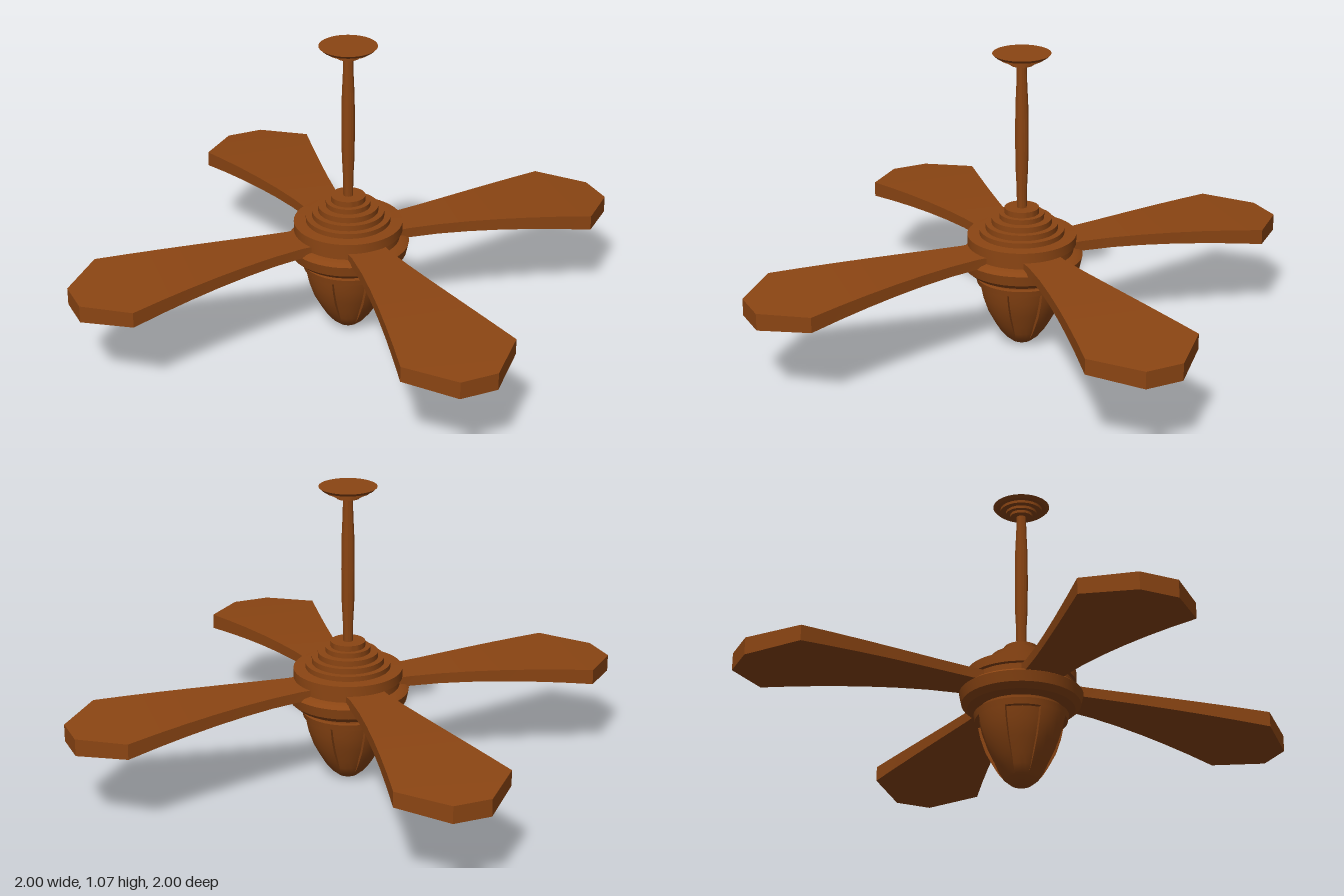
import * as THREE from 'three';
import { toCreasedNormals } from 'three/addons/utils/BufferGeometryUtils.js';

const wood = new THREE.MeshStandardMaterial({ color: 0x8b4513, side: THREE.DoubleSide });

function addMesh(parent, name, geometry) {
  const mesh = new THREE.Mesh(geometry, wood);
  mesh.name = name;
  parent.add(mesh);
  return mesh;
}

const points = (list) => list.map(([r, y]) => new THREE.Vector2(r, y));

// Turned part with sharp steps, profile listed from bottom to top
function turned(profile, segments = 48) {
  return toCreasedNormals(new THREE.LatheGeometry(points(profile), segments), 0.5);
}

// Blade: a box whose slices are widened, arched and cut to a chamfered tip
function bladeGeometry() {
  const stations = [0.12, 0.2, 0.31, 0.42, 0.53, 0.64, 0.75, 0.86, 1];
  const n = stations.length - 1;
  const geometry = new THREE.BoxGeometry(1, 1, 1, n, 1, 1);
  const pos = geometry.attributes.position;
  for (let i = 0; i < pos.count; i++) {
    const x = stations[Math.round((pos.getX(i) + 0.5) * n)];
    const t = Math.max(0, (x - 0.2) / 0.66);
    const half = x === 1 ? 0.067 : 0.07 + 0.135 * Math.pow(t, 1.25);
    const s = Math.max(0, (x - 0.2) / 0.8);
    const top = 0.372 - 0.042 * s * s;
    const bottom = 0.336 - 0.066 * Math.pow(s, 1.8);
    pos.setXYZ(i, x, pos.getY(i) > 0 ? top : bottom, Math.sign(pos.getZ(i)) * half + 0.005);
  }
  return toCreasedNormals(geometry, 0.4);
}

export function createModel() {
  const model = new THREE.Group();
  model.name = 'ceilingFan';

  // Stepped ceiling mount
  addMesh(model, 'ceilingMount', turned([
    [0, 1.025], [0.04, 1.025], [0.04, 1.035], [0.055, 1.035], [0.055, 1.045],
    [0.075, 1.045], [0.075, 1.055], [0.09, 1.055], [0.1, 1.065], [0, 1.065],
  ]));

  // Hanging rod, slightly swollen in the middle
  addMesh(model, 'rod', turned([
    [0.017, 0.5], [0.018, 0.58], [0.022, 0.66], [0.023, 0.77], [0.022, 0.88], [0.018, 0.97], [0.017, 1.03],
  ], 16));

  // Motor housing: neck, flared flange, blade band and stepped cap
  addMesh(model, 'motorHousing', turned([
    [0, 0.25], [0.145, 0.25], [0.145, 0.275], [0.185, 0.28], [0.205, 0.298], [0.213, 0.335],
    [0.2, 0.345], [0.18, 0.35], [0.18, 0.375], [0.19, 0.378], [0.19, 0.412],
    [0.148, 0.414], [0.148, 0.432], [0.126, 0.432], [0.126, 0.452], [0.105, 0.452], [0.105, 0.472],
    [0.078, 0.472], [0.078, 0.49], [0.06, 0.49], [0.06, 0.51], [0, 0.51],
  ]));

  // Four blades
  const geometry = bladeGeometry();
  for (let i = 0; i < 4; i++) {
    addMesh(model, 'blade', geometry).rotation.y = i * Math.PI / 2;
  }

  // Lamp bowl: recessed core with a rim and a rounded tip
  const bowl = new THREE.Group();
  bowl.name = 'lampBowl';
  model.add(bowl);
  const outer = [[0.06, 0.028], [0.083, 0.057], [0.103, 0.09], [0.13, 0.14], [0.149, 0.195], [0.158, 0.236]];
  const inner = outer.map(([r, y]) => [r - 0.015 * Math.min(1, (y - 0.028) / 0.08), y]);
  addMesh(bowl, 'bowlCore', turned([
    [0, 0], [0.02, 0.001], [0.036, 0.008], ...inner, [0.158, 0.236], [0.163, 0.258], [0, 0.258],
  ]));

  // Four raised panels, each an eighth of the turn, closed by side walls
  const wall = new THREE.ShapeGeometry(new THREE.Shape(points([...outer, ...inner.slice(1).reverse()])));
  for (let i = 0; i < 4; i++) {
    const start = i * Math.PI / 2;
    addMesh(bowl, 'raisedPanel', new THREE.LatheGeometry(points(outer), 8, start, Math.PI / 4));
    for (const angle of [start, start + Math.PI / 4]) {
      addMesh(bowl, 'panelEdge', wall).rotation.y = angle - Math.PI / 2;
    }
  }
  return model;
}
